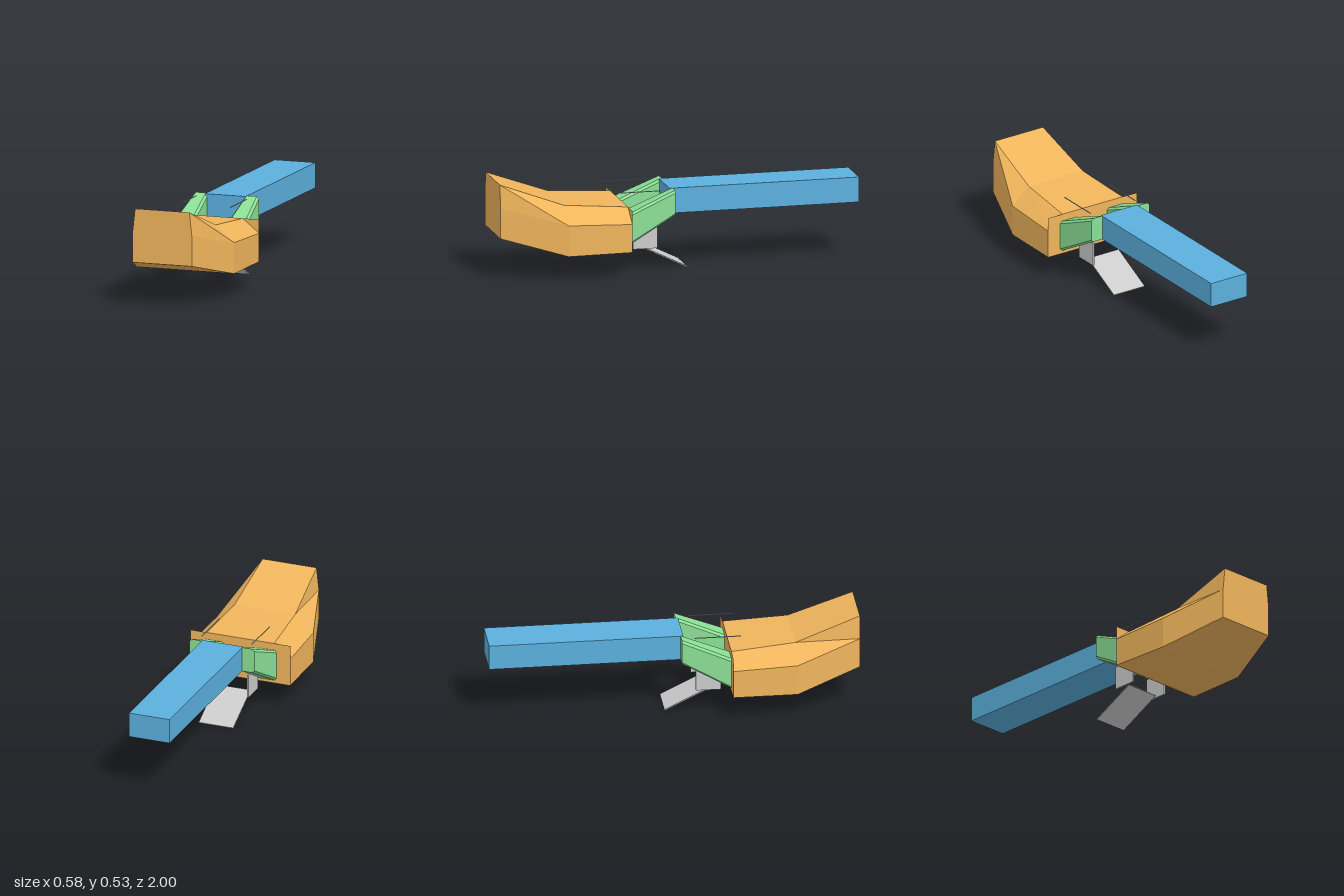
import * as THREE from 'three';

const paint = (color) => new THREE.MeshStandardMaterial({ color, flatShading: true, side: THREE.DoubleSide });
const ORANGE = paint(0xf0b55c), BLUE = paint(0x5cb0de), GREEN = paint(0x8be096), GREY = paint(0xcccccc);

function add(parent, name, geometry, material, x = 0, y = 0, z = 0) {
  const mesh = new THREE.Mesh(geometry, material);
  mesh.name = name;
  mesh.position.set(x, y, z);
  parent.add(mesh);
  return mesh;
}

// Skins rings of [x, y, z] points, listed back to front, each counter-clockwise seen from +z.
function loft(rings, capBack = true) {
  const pos = [];
  const tri = (...pts) => pts.forEach((p) => pos.push(...p));
  const n = rings[0].length;
  for (let i = 0; i < rings.length - 1; i++) {
    for (let j = 0; j < n; j++) {
      const k = (j + 1) % n;
      const a = rings[i][j], b = rings[i][k], c = rings[i + 1][k], d = rings[i + 1][j];
      tri(a, b, c);
      tri(a, c, d);
    }
  }
  const back = rings[0], front = rings[rings.length - 1];
  for (let j = 1; j < n - 1; j++) {
    tri(front[0], front[j], front[j + 1]);
    if (capBack) tri(back[0], back[j + 1], back[j]);
  }
  const g = new THREE.BufferGeometry();
  g.setAttribute('position', new THREE.Float32BufferAttribute(pos, 3));
  g.computeVertexNormals();
  return g;
}

// Hood section: vertical sides, sloped shoulders, flat top.
const hoodRing = (z, side, bottom, shoulder, ridge, top) => [
  [-side, bottom, z], [side, bottom, z], [side, shoulder, z],
  [ridge, top, z], [-ridge, top, z], [-side, shoulder, z],
];

// Arm section: rectangle with bevelled corners.
function armRing(z, x0, x1, y0, y1, c = 0.013) {
  return [
    [x0 + c, y0, z], [x1 - c, y0, z], [x1, y0 + c, z], [x1, y1 - c, z],
    [x1 - c, y1, z], [x0 + c, y1, z], [x0, y1 - c, z], [x0, y0 + c, z],
  ];
}

export function createModel() {
  const model = new THREE.Group();
  model.name = 'model';

  // Flared hood, rising and narrowing to the front
  add(model, 'hood', loft([
    hoodRing(0.3, 0.29, 0.145, 0.3, 0.195, 0.375),
    hoodRing(0.65, 0.28, 0.14, 0.31, 0.175, 0.4),
    hoodRing(1, 0.17, 0.234, 0.4, 0.156, 0.528),
  ], false), ORANGE);

  // Rectangular plate closing the hood at the back
  add(model, 'backPlate', new THREE.PlaneGeometry(0.58, 0.232), ORANGE, 0, 0.259, 0.3);

  // Long beam
  add(model, 'beam', new THREE.BoxGeometry(0.234, 0.138, 1.05), BLUE, 0, 0.376, -0.475);

  for (const s of [-1, 1]) {
    const side = s > 0 ? 'left' : 'right';

    // Tapering arm from hood to beam
    const span = (a, b) => (s > 0 ? [a, b] : [-b, -a]);
    add(model, side + 'Arm', loft([
      armRing(0.035, ...span(0.105, 0.188), 0.308, 0.447),
      armRing(0.3, ...span(0.093, 0.21), 0.16, 0.335),
    ]), GREEN);

    // Bracket plate under the arm
    add(model, side + 'Bracket', new THREE.BoxGeometry(0.009, 0.13, 0.135), GREY, s * 0.116, 0.185, 0.185);

    // Thin rod above the arm
    add(model, side + 'Rod', new THREE.BoxGeometry(0.004, 0.004, 0.25), GREY, s * 0.145, 0.441, 0.232);
  }

  // Sloping flap below
  const flap = add(model, 'flap', new THREE.BoxGeometry(0.2, 0.006, 0.277), GREY, 0, 0.065, 0.075);
  flap.rotation.x = -Math.atan2(0.122, 0.248);

  return model;
}
